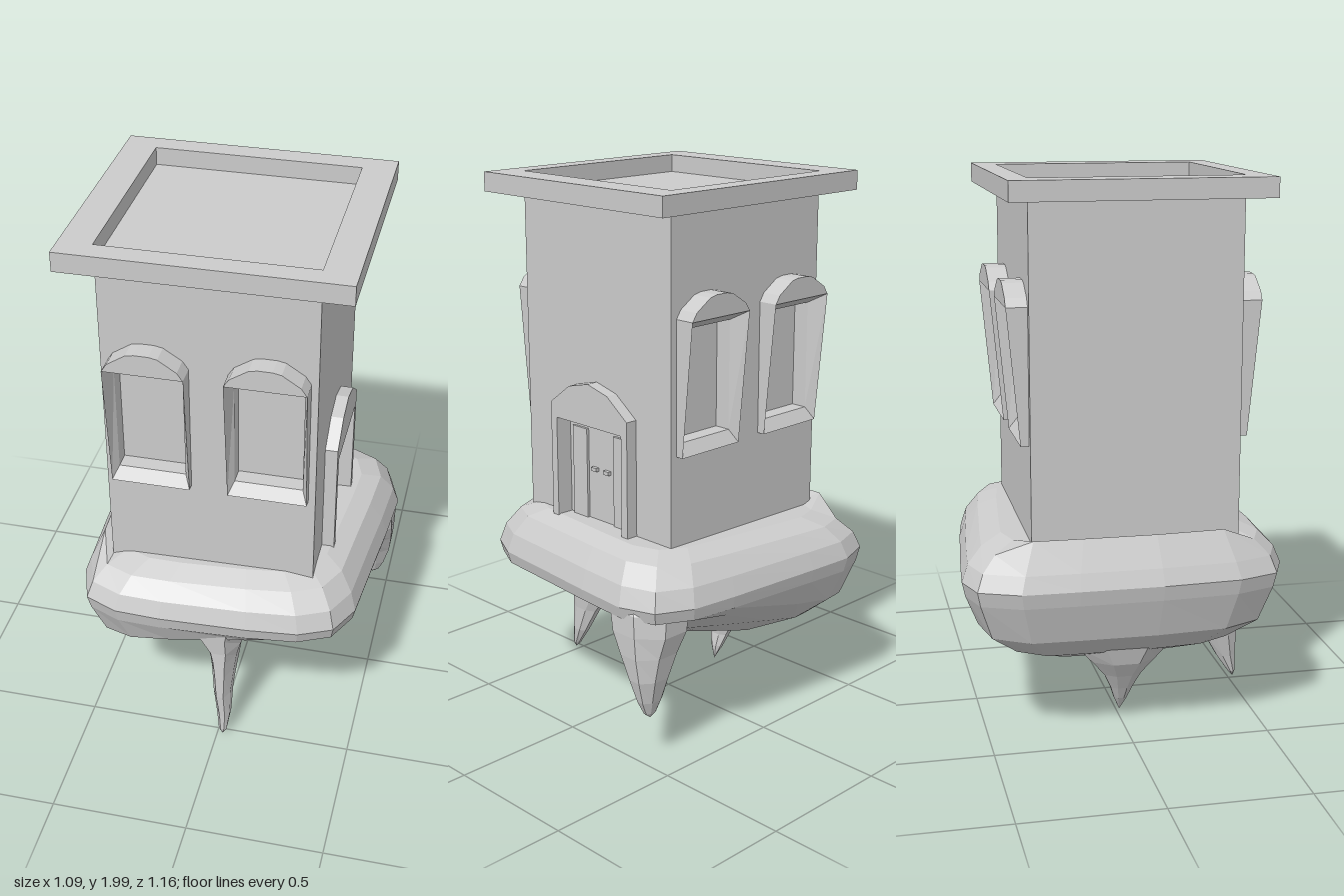
import * as THREE from 'three';

const mat = new THREE.MeshStandardMaterial({ color: 0xcccccc, flatShading: true });

function add(parent, name, geometry, x = 0, y = 0, z = 0) {
  const mesh = new THREE.Mesh(geometry, mat);
  mesh.name = name;
  mesh.position.set(x, y, z);
  parent.add(mesh);
  return mesh;
}

// Skin a list of closed loops, each holding the same number of [x, y, z] points
function loft(loops) {
  const n = loops[0].length, index = [];
  for (let i = 0; i < loops.length - 1; i++) {
    for (let j = 0; j < n; j++) {
      const a = i * n + j, b = i * n + (j + 1) % n;
      index.push(a, b, a + n, b, b + n, a + n);
    }
  }
  const g = new THREE.BufferGeometry();
  g.setAttribute('position', new THREE.Float32BufferAttribute(loops.flat(2), 3));
  g.setIndex(index);
  const flat = g.toNonIndexed();
  flat.computeVertexNormals();
  return flat;
}

const shapeOf = pts => new THREE.Shape(pts.map(p => new THREE.Vector2(...p)));
const rect = (x0, y0, x1, y1) => [[x0, y0], [x1, y0], [x1, y1], [x0, y1]];
const extrude = (shape, depth) => new THREE.ExtrudeGeometry(shape, { depth, bevelEnabled: false });

// Wall slab whose outer face lies on z = 0, pierced by rectangular openings
function wall(halfWidth, thickness, openings) {
  const s = shapeOf(rect(-halfWidth, 0.7, halfWidth, 1.935));
  for (const o of openings) s.holes.push(shapeOf(rect(...o)));
  return extrude(s, thickness).translate(0, 0, -thickness);
}

// Splayed window surround that leans out towards an arched hood
function windowFrame() {
  const g = new THREE.Group();
  g.name = 'window';
  const loop = (h, y0, y1, w0, w1) => [[h, y0, w0], [h, y1, w1], [-h, y1, w1], [-h, y0, w0]];
  add(g, 'windowSurround', loft([
    loop(0.14, 1.09, 1.57, 0, 0),
    loop(0.14, 1.09, 1.57, 0.03, 0.075),
    loop(0.12, 1.135, 1.53, 0, 0),
  ]));
  add(g, 'windowHood', extrude(shapeOf([
    [-0.14, 1.57], [0.14, 1.57], [0.12, 1.6], [0.055, 1.642], [0.025, 1.648],
    [-0.025, 1.648], [-0.055, 1.642], [-0.12, 1.6],
  ]), 0.075));
  return g;
}

function facade(hw) {
  const g = new THREE.Group();
  g.name = 'windowWall';
  const xs = [-0.2075, 0.2075];
  add(g, 'wall', wall(hw, 0.06, xs.map(x => [x - 0.12, 1.135, x + 0.12, 1.53])));
  for (const x of xs) {
    const w = windowFrame();
    w.position.x = x;
    g.add(w);
  }
  return g;
}

function doorSide() {
  const g = new THREE.Group();
  g.name = 'doorWall';
  add(g, 'wall', wall(0.313, 0.02, [[-0.17, 0.71, 0.17, 1.135]]));
  // Arched door surround
  add(g, 'doorSurround', extrude(shapeOf([
    [-0.2, 0.72], [-0.17, 0.72], [-0.17, 1.135], [0.17, 1.135], [0.17, 0.72], [0.2, 0.72],
    [0.2, 1.19], [0.1, 1.265], [0, 1.29], [-0.1, 1.265], [-0.2, 1.19],
  ]), 0.045));
  for (const s of [-1, 1]) {
    add(g, 'doorPanel', new THREE.BoxGeometry(0.075, 0.39, 0.02), s * 0.1075, 0.905, -0.02);
    add(g, 'doorHandle', new THREE.BoxGeometry(0.027, 0.014, 0.016), s * 0.032, 0.955, -0.014);
  }
  return g;
}

function tower() {
  const g = new THREE.Group();
  g.name = 'tower';
  const hx = 0.3725, hz = 0.373;
  add(g, 'core', new THREE.BoxGeometry(2 * hx - 0.02, 1.235, 2 * hz - 0.12), -0.01, 1.3175, 0);
  for (const s of [1, -1]) {
    const f = facade(hx);
    f.position.z = s * hz;
    f.rotation.y = s > 0 ? 0 : Math.PI;
    g.add(f);
  }
  const d = doorSide();
  d.position.x = hx;
  d.rotation.y = Math.PI / 2;
  g.add(d);
  // Roof slab with a sunken deck
  const rim = shapeOf(rect(-0.49, -0.453, 0.49, 0.453));
  rim.holes.push(shapeOf(rect(-hx, -hz, hx, hz)));
  add(g, 'roofRim', extrude(rim, 0.07).rotateX(-Math.PI / 2), 0, 1.93, 0);
  g.position.set(-0.0425, 0, 0.027);
  return g;
}

function rock() {
  const g = new THREE.Group();
  g.name = 'floatingRock';
  // Plan outline at the widest level
  const outline = [
    [-0.48, -0.545], [-0.355, -0.585], [-0.18, -0.57], [0.2, -0.53], [0.375, -0.505], [0.5, -0.44],
    [0.545, -0.31], [0.53, -0.1], [0.51, 0.1], [0.485, 0.37], [0.425, 0.49], [0.305, 0.545],
    [0.12, 0.565], [-0.2, 0.58], [-0.365, 0.575], [-0.485, 0.525], [-0.535, 0.38], [-0.548, 0.1],
    [-0.545, -0.2], [-0.54, -0.4],
  ];
  // scale, height, sideways tilt
  const levels = [
    [0, 0.755, 0], [0.74, 0.755, 0.02], [0.87, 0.725, 0.02], [0.96, 0.665, 0], [1, 0.6, -0.01],
    [0.98, 0.55, 0], [0.9, 0.48, 0.15], [0.72, 0.395, 0.2], [0.45, 0.315, 0.27], [0.2, 0.275, 0.25],
    [0, 0.265, 0],
  ];
  add(g, 'rockBody', loft(levels.map(([s, y, tilt], i) => outline.map(([x, z]) => {
    const ridge = i === 2 && x < -0.5 ? 0.058 : 0; // raised lip along one side
    return [x * s, y + tilt * x * s + ridge, z * s];
  }))));

  // Hanging spikes: x, y, z, x radius, z radius from root to tip
  const spikes = {
    frontSpike: [
      [-0.015, 0.56, 0.4, 0.16, 0.13], [-0.015, 0.48, 0.385, 0.115, 0.14], [0.005, 0.41, 0.385, 0.07, 0.135],
      [0.008, 0.36, 0.4, 0.053, 0.122], [0.01, 0.3, 0.42, 0.044, 0.105], [0.012, 0.2, 0.463, 0.033, 0.067],
      [0.02, 0.1, 0.49, 0.025, 0.037], [0.02, 0.03, 0.515, 0.015, 0.014], [0.02, 0.007, 0.522, 0, 0],
    ],
    leftSpike: [
      [-0.28, 0.4, 0, 0.12, 0.22], [-0.295, 0.33, 0, 0.115, 0.19], [-0.31, 0.26, 0, 0.08, 0.12],
      [-0.307, 0.2, 0, 0.046, 0.07], [-0.293, 0.14, 0, 0.027, 0.042], [-0.276, 0.09, 0, 0.019, 0.025],
      [-0.26, 0.035, 0, 0, 0],
    ],
    backSpike: [
      [0.38, 0.64, -0.3, 0.11, 0.1], [0.395, 0.57, -0.305, 0.138, 0.145], [0.405, 0.49, -0.315, 0.13, 0.135],
      [0.425, 0.41, -0.335, 0.107, 0.095], [0.443, 0.32, -0.355, 0.079, 0.06],
      [0.45, 0.235, -0.362, 0.05, 0.034], [0.453, 0.185, -0.365, 0.025, 0.015], [0.453, 0.165, -0.365, 0, 0],
    ],
  };
  for (const [name, rings] of Object.entries(spikes)) {
    add(g, name, loft(rings.map(([x, y, z, rx, rz]) => Array.from({ length: 8 }, (_, k) => {
      const a = (k + 0.5) * Math.PI / 4;
      return [x + rx * 1.05 * Math.cos(a), y, z + rz * 1.05 * Math.sin(a)];
    }))));
  }
  return g;
}

export function createModel() {
  const model = new THREE.Group();
  model.name = 'towerOnRock';
  model.add(tower(), rock());
  return model;
}
